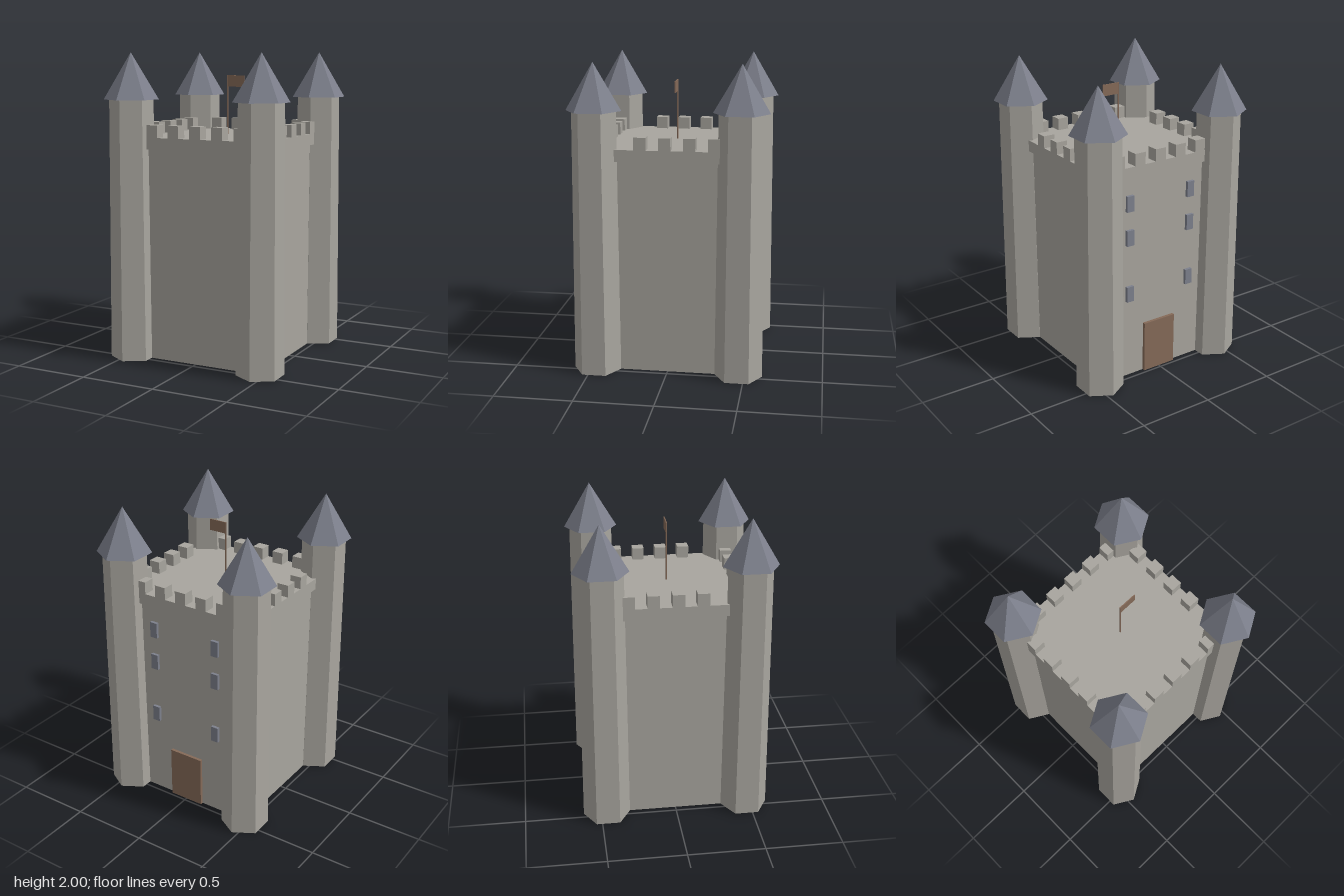
import * as THREE from 'three';

export function createModel() {
  const castle = new THREE.Group();
  castle.name = 'castle';

  const material = (name, color) => {
    const m = new THREE.MeshStandardMaterial({ color, flatShading: true });
    m.name = name;
    return m;
  };
  const stone = material('stone', 0xa8a59e);
  const slate = material('slate', 0x7d808c);
  const wood = material('wood', 0x856a58);

  const add = (name, geometry, mat, x, y, z) => {
    const mesh = new THREE.Mesh(geometry, mat);
    mesh.name = name;
    mesh.position.set(x, y, z);
    castle.add(mesh);
    return mesh;
  };
  // Box placed by its centre in x and z and by its bottom in y
  const box = (name, mat, w, h, d, x, y, z) =>
    add(name, new THREE.BoxGeometry(w, h, d), mat, x, y + h / 2, z);

  // Keep and the overhanging parapet slab
  box('keep', stone, 0.92, 1.385, 0.92, 0, 0, 0);
  box('parapet', stone, 0.97, 0.075, 0.97, 0, 1.385, 0);

  // Battlements along the four sides, ending where the towers begin
  const size = 0.077, pitch = 0.155, edge = 0.485 - size / 2;
  for (const side of [-1, 1]) {
    for (let i = 0; i < 5; i++) {
      const along = -0.296 + i * pitch;
      box('merlon', stone, size, 0.08, size, along, 1.46, side * edge);
      if (i < 4) box('merlon', stone, size, 0.08, size, side * edge, 1.46, along);
    }
  }

  // Tapered hexagonal corner towers with pointed roofs
  const shaft = new THREE.CylinderGeometry(0.142, 0.154, 1.7, 6);
  const spire = new THREE.ConeGeometry(0.177, 0.3, 6);
  for (const x of [-0.461, 0.461]) {
    for (const z of [-0.461, 0.461]) {
      add('tower', shaft, stone, x, 0.85, z);
      add('towerRoof', spire, slate, x, 1.85, z);
    }
  }

  // Door and two columns of windows on the rear wall
  box('door', wood, 0.24, 0.35, 0.04, 0, 0, -0.46);
  for (const x of [-0.235, 0.235]) {
    for (const y of [0.545, 0.935, 1.165]) {
      box('window', slate, 0.052, 0.105, 0.04, x, y, -0.46);
    }
  }

  // Flag on its pole
  add('flagpole', new THREE.CylinderGeometry(0.005, 0.005, 0.39, 6), wood, 0, 1.655, 0);
  box('flag', wood, 0.12, 0.075, 0.006, 0.06, 1.775, 0);

  return castle;
}
